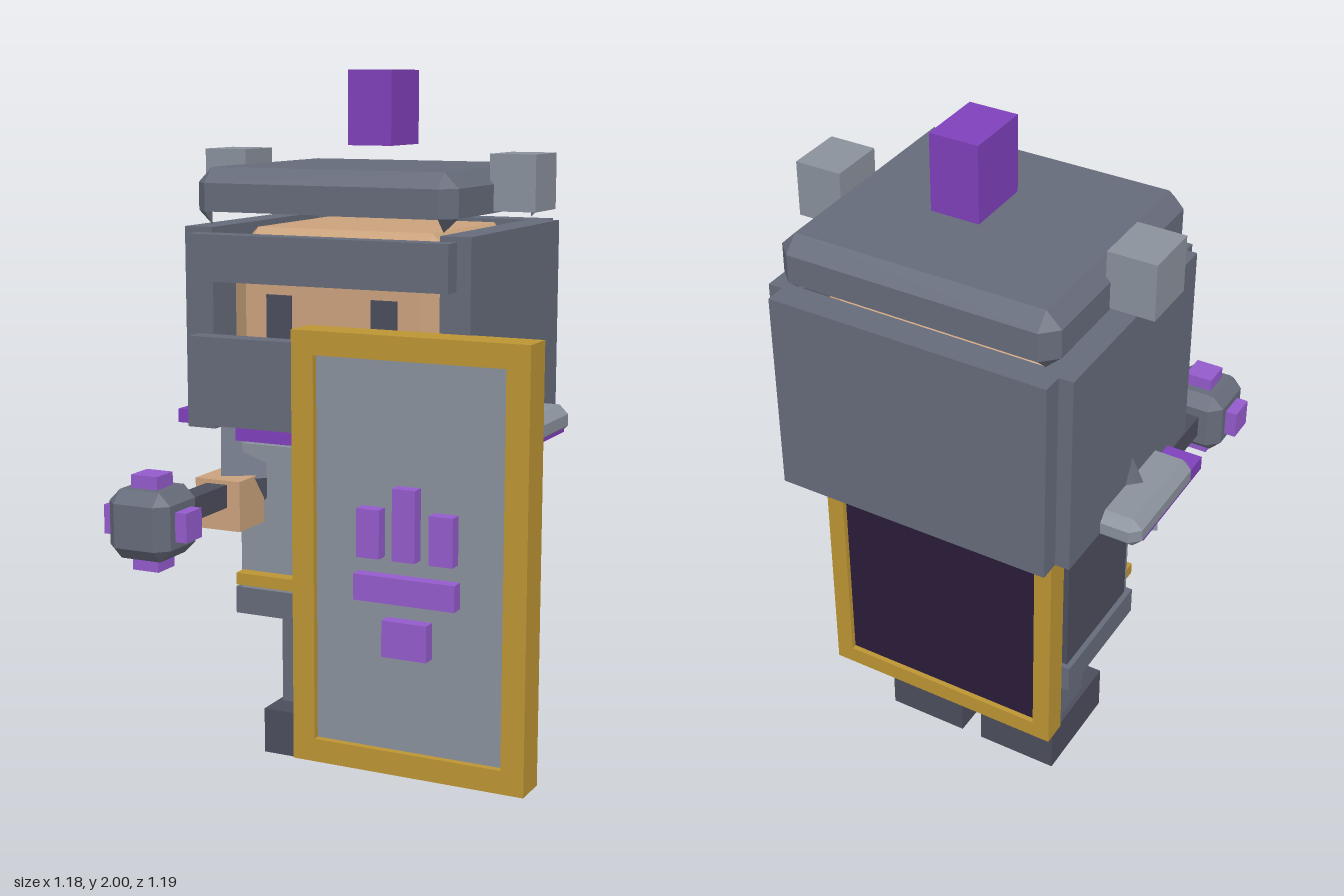
import * as THREE from 'three';
import { ConvexGeometry } from 'three/addons/geometries/ConvexGeometry.js';

const MID = -0.052; // the body's own mirror plane

export function createModel() {
  const root = new THREE.Group();
  const mat = (name, color) => {
    const m = new THREE.MeshStandardMaterial({ color });
    m.name = name;
    return m;
  };
  const steel = mat('steel', 0x666b7a);
  const darkSteel = mat('dark steel', 0x4b4d5c);
  const paleSteel = mat('pale steel', 0x8a919c);
  const gold = mat('gold', 0xbc9433);
  const violet = mat('violet', 0x7f40bb);
  const lilac = mat('lilac', 0x945bcc);
  const skin = mat('skin', 0xcaa27c);
  const cloth = mat('dark cloth', 0x2a1c3a);

  const add = (name, geometry, material, parent = root) => {
    const mesh = new THREE.Mesh(geometry, material);
    mesh.name = name;
    parent.add(mesh);
    return mesh;
  };
  const group = (name) => {
    const g = new THREE.Group();
    g.name = name;
    root.add(g);
    return g;
  };
  // Box given by its lower and upper bounds on each axis
  const box = (name, m, x0, x1, y0, y1, z0, z1, parent) => {
    const mesh = add(name, new THREE.BoxGeometry(x1 - x0, y1 - y0, z1 - z0), m, parent);
    mesh.position.set((x0 + x1) / 2, (y0 + y1) / 2, (z0 + z1) / 2);
    return mesh;
  };
  // Box with every edge cut by c
  const chamferBox = (name, m, x0, x1, y0, y1, z0, z1, c, parent) => {
    const hx = (x1 - x0) / 2, hy = (y1 - y0) / 2, hz = (z1 - z0) / 2;
    const pts = [];
    for (const a of [-1, 1]) for (const b of [-1, 1]) for (const d of [-1, 1]) {
      pts.push(
        new THREE.Vector3(a * hx, b * (hy - c), d * (hz - c)),
        new THREE.Vector3(a * (hx - c), b * hy, d * (hz - c)),
        new THREE.Vector3(a * (hx - c), b * (hy - c), d * hz));
    }
    const mesh = add(name, new ConvexGeometry(pts), m, parent);
    mesh.position.set((x0 + x1) / 2, (y0 + y1) / 2, (z0 + z1) / 2);
    return mesh;
  };
  // The same box on both sides of the body; x0 and x1 are measured from its middle
  const pair = (name, m, x0, x1, ...rest) => {
    box(name + 'Left', m, MID + x0, MID + x1, ...rest);
    box(name + 'Right', m, MID - x1, MID - x0, ...rest);
  };
  // Rectangular frame of four bars
  const frame = (name, x0, x1, y0, y1, z0, z1, w) => {
    const g = group(name);
    box('leftBar', gold, x1 - w, x1, y0, y1, z0, z1, g);
    box('rightBar', gold, x0, x0 + w, y0, y1, z0, z1, g);
    box('topBar', gold, x0 + w, x1 - w, y1 - w, y1, z0, z1, g);
    box('bottomBar', gold, x0 + w, x1 - w, y0, y0 + w, z0, z1, g);
  };

  // Legs and boots
  pair('boot', darkSteel, 0.032, 0.272, 0, 0.135, -0.31, -0.01);
  pair('leg', steel, 0.05, 0.258, 0.135, 0.43, -0.3, -0.1);

  // Torso
  box('hips', steel, -0.415, 0.311, 0.42, 0.5, -0.39, -0.01);
  box('torso', darkSteel, -0.4, 0.296, 0.5, 0.97, -0.375, -0.03);
  box('chestPlate', paleSteel, -0.395, 0.291, 0.5, 0.95, -0.032, -0.01);
  box('chestPanel', paleSteel, -0.375, 0.271, 0.57, 0.94, -0.02, 0.015);
  box('backPlate', paleSteel, -0.375, 0.271, 0.57, 0.94, -0.405, -0.37);
  box('belt', gold, -0.39, 0.286, 0.52, 0.555, -0.03, 0.033);
  box('collar', violet, -0.385, 0.281, 0.95, 0.99, -0.2, 0.035);
  box('neck', cloth, -0.34, 0.236, 0.98, 1.11, -0.45, 0.0);

  // Cape in a gold border
  frame('capeBorder', -0.4, 0.296, 0.29, 1.05, -0.475, -0.405, 0.05);
  box('cape', cloth, -0.355, 0.251, 0.335, 1.01, -0.46, -0.425);

  // Head
  chamferBox('head', skin, -0.395, 0.291, 1.08, 1.565, -0.515, 0.08, 0.075);
  pair('eye', darkSteel, 0.122, 0.2, 1.2, 1.385, 0.077, 0.086);

  // Helmet walls, brow and cheek guards
  pair('helmetSide', steel, 0.345, 0.433, 1.0, 1.57, -0.54, 0.13);
  box('helmetBack', steel, -0.445, 0.341, 1.0, 1.57, -0.597, -0.515);
  box('brow', steel, -0.445, 0.341, 1.425, 1.555, 0.125, 0.188);
  pair('cheekGuard', steel, 0.068, 0.393, 1.02, 1.27, 0.125, 0.186);

  // Helmet cap: straight below, chamfered above, with a small point under each corner
  const cap = group('helmetCap');
  cap.position.set(MID, 0, -0.203);
  const hx = 0.392, hz = 0.364, c = 0.042;
  const capPts = [];
  for (const a of [-1, 1]) for (const d of [-1, 1]) {
    for (const y of [1.615, 1.693]) {
      capPts.push(new THREE.Vector3(a * hx, y, d * (hz - c)), new THREE.Vector3(a * (hx - c), y, d * hz));
    }
    capPts.push(new THREE.Vector3(a * (hx - c), 1.735, d * (hz - c)));
    add('capCorner', new ConvexGeometry([
      new THREE.Vector3(a * hx, 1.616, d * (hz - c)),
      new THREE.Vector3(a * (hx - c), 1.616, d * hz),
      new THREE.Vector3(a * (hx - c), 1.616, d * (hz - c)),
      new THREE.Vector3(a * (hx - c), 1.577, d * (hz - c)),
    ]), steel, cap);
  }
  add('capPlate', new ConvexGeometry(capPts), steel, cap);
  pair('knob', paleSteel, 0.38, 0.513, 1.62, 1.775, -0.285, -0.125);
  box('plume', violet, -0.12, 0.015, 1.79, 2.0, -0.35, -0.162);

  // Arms: shoulder plate, violet trim, slanted sleeve and hand
  for (const s of [1, -1]) {
    const g = group(s > 0 ? 'leftArm' : 'rightArm');
    g.position.x = MID;
    const span = (a, b) => (s > 0 ? [a, b] : [-b, -a]);
    chamferBox('shoulderPlate', paleSteel, ...span(0.3, 0.54), 0.975, 1.06, -0.375, -0.035, 0.026, g);
    box('shoulderTrim', violet, ...span(0.28, 0.535), 0.985, 1.025, -0.33, 0.018, g);
    const spike = add('shoulderSpike', new THREE.ConeGeometry(0.055, 0.11, 4), steel, g);
    spike.position.set(s * 0.425, 1.09, -0.2);
    // The left arm hangs lower, behind the shield
    const from = s > 0 ? new THREE.Vector3(0.385, 0.95, -0.19) : new THREE.Vector3(-0.385, 0.98, -0.19);
    const to = s > 0 ? new THREE.Vector3(0.35, 0.72, 0.04) : new THREE.Vector3(-0.345, 0.78, 0.06);
    const sleeve = add('sleeve', new THREE.BoxGeometry(0.13, 0.16, from.distanceTo(to)), steel, g);
    sleeve.position.copy(from).lerp(to, 0.5);
    sleeve.lookAt(to);
    const y = s > 0 ? 0.6 : 0.715;
    box('hand', skin, ...span(0.25, 0.393), y, y + 0.145, s > 0 ? -0.01 : 0.02, s > 0 ? 0.13 : 0.162, g);
  }

  // Mace
  const mace = group('mace');
  mace.position.set(-0.376, 0.815, 0.5);
  box('handle', darkSteel, -0.033, 0.033, -0.033, 0.033, -0.46, -0.08, mace);
  chamferBox('maceHead', steel, -0.094, 0.094, -0.094, 0.094, -0.097, 0.097, 0.034, mace);
  box('sideStuds', lilac, -0.128, 0.128, -0.04, 0.04, -0.04, 0.04, mace);
  box('topStuds', lilac, -0.04, 0.04, -0.13, 0.13, -0.04, 0.04, mace);

  // Shield with raised blocks on its face
  frame('shieldRim', -0.1, 0.588, 0.1, 1.313, 0.125, 0.228, 0.066);
  box('shieldPanel', paleSteel, -0.04, 0.53, 0.16, 1.255, 0.15, 0.208);
  for (const [x0, x1, y0, y1] of [
    [0.105, 0.172, 0.71, 0.845], [0.21, 0.277, 0.71, 0.908], [0.317, 0.386, 0.71, 0.845],
    [0.095, 0.392, 0.59, 0.663], [0.18, 0.312, 0.44, 0.542],
  ]) box('shieldBlock', lilac, x0, x1, y0, y1, 0.2, 0.247);

  return root;
}
